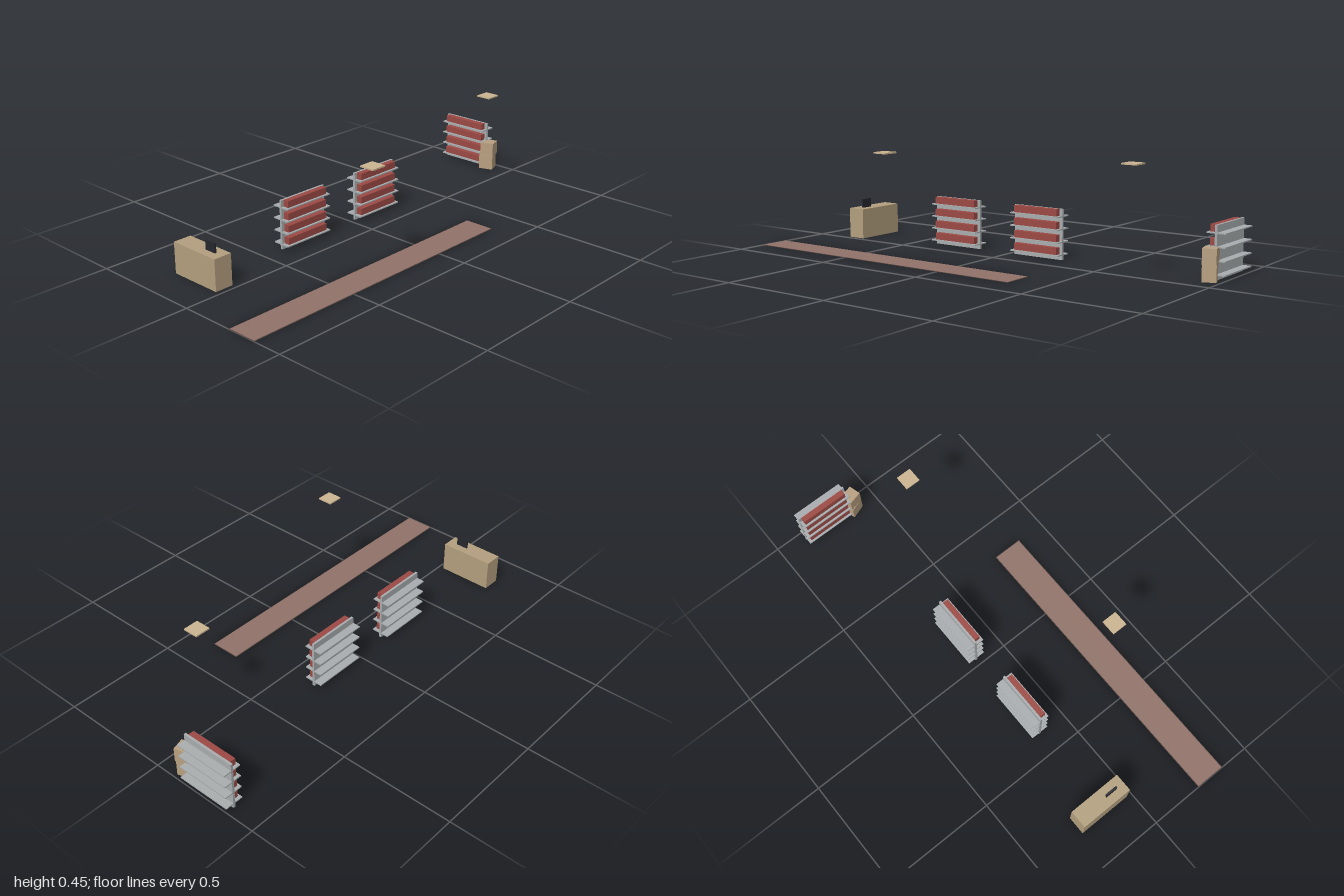
import * as THREE from 'three';

const mat = (name, color) => {
  const m = new THREE.MeshStandardMaterial({ color });
  m.name = name;
  return m;
};

export function createModel() {
  const metal = mat('shelfGrey', 0xa9adaf);
  const red = mat('goodsRed', 0x9c4a44);
  const wood = mat('counterTan', 0xb39f7e);
  const cardboard = mat('cardboard', 0xb8a080);
  const panelCream = mat('panelCream', 0xcbb491);
  const runnerBrown = mat('runnerBrown', 0x91736a);
  const runnerEdge = mat('runnerEdge', 0x5c4a43);
  const black = mat('screenBlack', 0x26262e);

  const model = new THREE.Group();
  model.name = 'shopInterior';

  // Box centred on x, z and resting on y
  const box = (parent, name, material, w, h, d, x, y, z, turn = 0) => {
    const mesh = new THREE.Mesh(new THREE.BoxGeometry(w, h, d), material);
    mesh.name = name;
    mesh.position.set(x, y + h / 2, z);
    mesh.rotation.y = turn;
    parent.add(mesh);
    return mesh;
  };

  // Shelf rack: upright panel, shelves on both sides, goods on the front side (+z)
  const rack = (name, x, z, turn) => {
    const g = new THREE.Group();
    g.name = name;
    box(g, 'backPanel', metal, 0.242, 0.215, 0.01, 0, 0, 0);
    for (let i = 0; i < 4; i++) {
      const y = 0.019 + i * 0.054;
      box(g, 'shelf', metal, 0.242, 0.005, 0.081, 0, y, 0);
      box(g, 'goods', red, 0.215, 0.029, 0.026, 0, y + 0.005, 0.018);
    }
    g.position.set(x, 0, z);
    g.rotation.y = turn;
    model.add(g);
  };
  rack('frontRack', -0.131, 0.282, Math.PI / 2);
  rack('middleRack', -0.131, -0.147, Math.PI / 2);
  rack('rearRack', -0.251, -0.96, 0);

  // Counter with a thin screen
  box(model, 'counter', wood, 0.242, 0.135, 0.081, -0.144, 0, 0.8);
  box(model, 'screen', black, 0.054, 0.04, 0.008, -0.091, 0.135, 0.8);

  // Stacked cartons beside the rear rack
  box(model, 'lowerCarton', cardboard, 0.066, 0.067, 0.056, -0.114, 0, -0.947, 0.35);
  box(model, 'upperCarton', cardboard, 0.064, 0.064, 0.056, -0.111, 0.067, -0.95, 0.27);

  // Floor runner with a darker rim
  box(model, 'runnerBase', runnerEdge, 0.134, 0.0015, 1.349, 0.304, 0, 0.3255);
  box(model, 'runnerTop', runnerBrown, 0.128, 0.001, 1.343, 0.304, 0.0015, 0.3255);

  // Overhead light panels
  box(model, 'ceilingPanel', panelCream, 0.067, 0.006, 0.067, 0.057, 0.446, -0.703);
  box(model, 'ceilingPanel', panelCream, 0.067, 0.006, 0.067, 0.304, 0.446, 0.325);

  return model;
}
